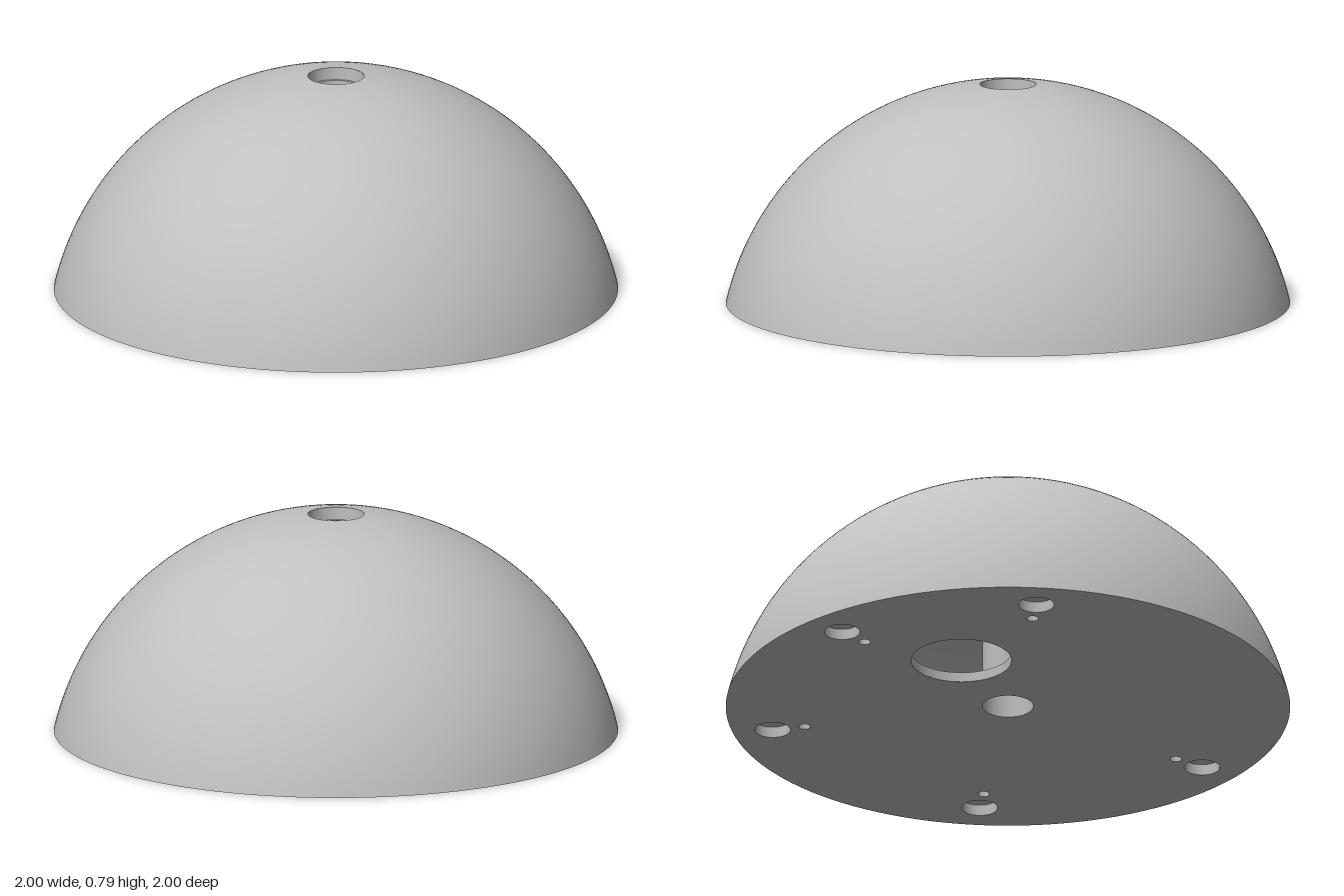
import * as THREE from 'three';

const RADIUS = 1.027, CENTRE_Y = -0.234; // sphere from which the dome is cut
const BORE = 0.09, TOP_BORE = 0.1, PLATE = 0.036;

export function createModel() {
  const group = new THREE.Group();
  const grey = new THREE.MeshStandardMaterial({ color: 0xc0c0c0, side: THREE.DoubleSide });
  grey.name = 'grey';

  const add = (name, geometry, x = 0, y = 0, z = 0) => {
    const mesh = new THREE.Mesh(geometry, grey);
    mesh.name = name;
    mesh.position.set(x, y, z);
    group.add(mesh);
  };
  const lathe = (pts, n = 128) =>
    new THREE.LatheGeometry(pts.map(([r, y]) => new THREE.Vector2(r, y)), n);

  // Spherical profile between two heights' polar angles, from low to high
  const arc = (r, a0, a1, n = 40) => Array.from({ length: n + 1 }, (_, i) => {
    const a = a0 + (a1 - a0) * i / n;
    return [r * Math.sin(a), CENTRE_Y + r * Math.cos(a)];
  });

  // Outer dome
  const outer = arc(RADIUS, Math.acos(-CENTRE_Y / RADIUS), Math.asin(TOP_BORE / RADIUS));
  outer[0] = [1, 0];
  add('dome', lathe(outer));
  const topY = outer[outer.length - 1][1], ledgeY = topY - 0.045;

  // Stepped central bore, running right through
  add('topRecess', lathe([[TOP_BORE, topY], [TOP_BORE, ledgeY]], 64));
  add('boreLedge', lathe([[TOP_BORE, ledgeY], [BORE, ledgeY]], 64));
  add('centralBore', lathe([[BORE, ledgeY], [BORE, 0]], 64));

  // Cavity behind the large opening
  const inner = RADIUS - 0.06;
  add('cavity', lathe(arc(inner, Math.acos((PLATE - CENTRE_Y) / inner), Math.asin(TOP_BORE / inner), 24).reverse(), 96));

  // Underside plate with its openings
  const base = new THREE.Shape();
  base.absarc(0, 0, 1, 0, Math.PI * 2);
  const cut = (x, z, r) => {
    const hole = new THREE.Path();
    hole.absarc(x, z, r, 0, Math.PI * 2, true);
    base.holes.push(hole);
  };
  cut(0, 0, BORE);

  // A round opening with a wall, closed by a ceiling when blind
  const pocket = (name, angle, distance, r, depth, blind) => {
    const a = THREE.MathUtils.degToRad(angle);
    const x = distance * Math.cos(a), z = -distance * Math.sin(a);
    cut(x, z, r);
    add(name + 'Wall', lathe([[r, depth], [r, 0]], 48), x, 0, z);
    if (blind) add(name + 'Ceiling', new THREE.CircleGeometry(r, 48).rotateX(Math.PI / 2), x, depth, z);
  };
  pocket('largeOpening', 180, 0.418, 0.178, PLATE, false);
  for (const angle of [30, 100, 160, 210, 330]) {
    pocket('footRecess', angle, 0.857, 0.063, 0.04, true);
    pocket('pinHole', angle, 0.741, 0.021, 0.04, true);
  }
  add('base', new THREE.ShapeGeometry(base, 64).rotateX(Math.PI / 2));

  return group;
}
